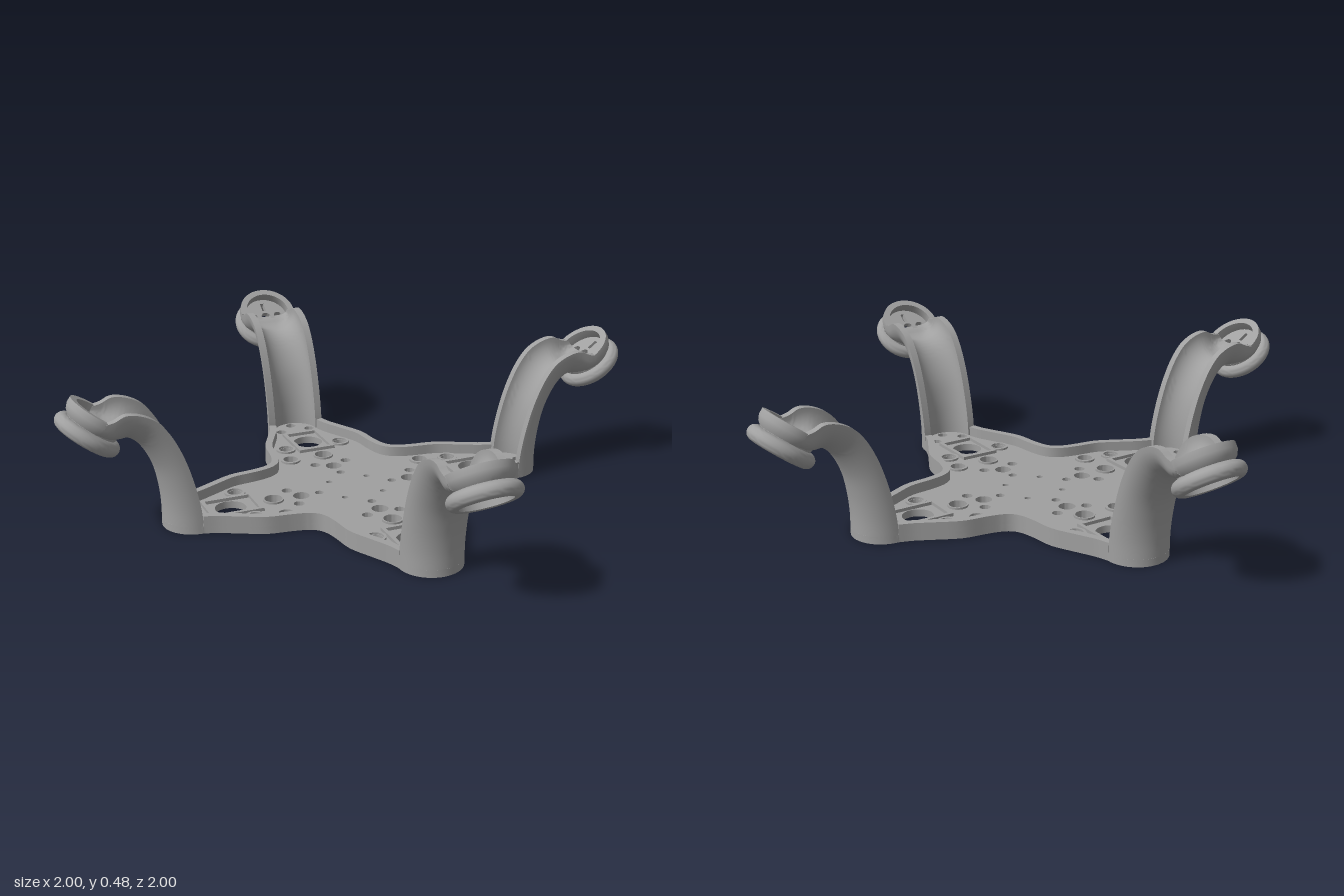
import * as THREE from 'three';
import { toCreasedNormals } from 'three/addons/utils/BufferGeometryUtils.js';

const V2 = (x, y) => new THREE.Vector2(x, y);
const V3 = (x, y) => new THREE.Vector3(x, y, 0);
const WIDTH = 0.105;   // half width of an arm
const WALL = 0.025;    // wall thickness
const ARM_X = 0.575;   // where the arms leave the plate

export function createModel() {
  const model = new THREE.Group();
  const grey = new THREE.MeshStandardMaterial({ color: 0xa0a0a0, side: THREE.DoubleSide });
  grey.name = 'grey plastic';

  const add = (parent, name, geometry) => {
    const mesh = new THREE.Mesh(toCreasedNormals(geometry, 0.6), grey);
    mesh.name = name;
    parent.add(mesh);
    return mesh;
  };
  // Extrude a plan shape upwards
  const slab = (shape, y, height) =>
    new THREE.ExtrudeGeometry(shape, { depth: height, bevelEnabled: false, curveSegments: 16 })
      .rotateX(-Math.PI / 2).translate(0, y, 0);
  const circle = (x, y, r) => new THREE.Path().absarc(x, y, r, 0, Math.PI * 2, true);
  const rectangle = (x, y, w, h) => [V2(x - w, y - h), V2(x + w, y - h), V2(x + w, y + h), V2(x - w, y + h)];
  const turn = (p, k) => p.clone().rotateAround(V2(0, 0), k * Math.PI / 2);

  // Wavy side between two arms, and its inward offset
  const side = new THREE.SplineCurve([
    [ARM_X, WIDTH], [0.53, 0.12], [0.47, 0.15], [0.39, 0.188], [0.31, 0.2], [0.26, 0.211], [0.229, 0.229],
    [0.211, 0.26], [0.2, 0.31], [0.188, 0.39], [0.15, 0.47], [0.12, 0.53], [WIDTH, ARM_X],
  ].map(p => V2(...p)));
  const outer = side.getPoints(48);
  const inner = outer.map((p, i) => {
    const t = side.getTangent(i / 48);
    return V2(p.x - t.y * WALL, p.y + t.x * WALL);
  });

  // Floor plate with rounded arm roots and drilled holes
  const outline = [];
  for (let k = 0; k < 4; k++) {
    for (let i = 0; i < 24; i++) {
      const a = -Math.PI / 2 + i / 24 * Math.PI;
      outline.push(turn(V2(ARM_X + WIDTH * Math.cos(a), WIDTH * Math.sin(a)), k));
    }
    outer.slice(0, -1).forEach(p => outline.push(turn(p, k)));
  }
  const plate = new THREE.Shape(outline);
  const holes = [
    [0.45, 0, 0.052], [0.3, 0, 0.03], [0.2, 0, 0.028], [0.135, 0, 0.015], [0.23, 0.058, 0.018],
    [0.23, -0.058, 0.018], [0.4, 0.105, 0.024], [0.4, -0.105, 0.024], [0.3, 0.125, 0.026],
    [0.58, 0.055, 0.018], [0.58, -0.055, 0.018], [0.63, 0, 0.018], [0.07, 0.07, 0.011],
  ];
  const bosses = [[0.4, 0.105], [0.4, -0.105], [0.3, 0.125], [0.3, 0]];
  for (let k = 0; k < 4; k++) {
    for (const [x, y, r] of holes) {
      const c = turn(V2(x, y), k);
      plate.holes.push(circle(c.x, c.y, r));
    }
  }
  add(model, 'floorPlate', slab(plate, 0, 0.025));

  // Raised rims, hole collars and square frames, one set per quarter
  for (let k = 0; k < 4; k++) {
    const quarter = new THREE.Group();
    quarter.name = 'plateQuarter';
    quarter.rotation.y = k * Math.PI / 2;
    model.add(quarter);
    add(quarter, 'rim', slab(new THREE.Shape([...outer, ...inner.slice().reverse()]), 0, 0.06));
    for (const [x, y] of bosses) {
      const collar = new THREE.Shape().absarc(x, y, 0.035, 0, Math.PI * 2);
      collar.holes.push(circle(x, y, y === 0 ? 0.03 : 0.026));
      add(quarter, 'holeCollar', slab(collar, 0.02, 0.012));
    }
    const frame = new THREE.Shape(rectangle(0.445, 0, 0.09, 0.068));
    frame.holes.push(new THREE.Path(rectangle(0.445, 0, 0.077, 0.055).reverse()));
    add(quarter, 'squareFrame', slab(frame, 0.02, 0.016));
  }

  // Arm: U-shaped channel between an edge curve and a back curve
  const edge = new THREE.CatmullRomCurve3([
    [0.575, 0], [0.578, 0.07], [0.597, 0.17], [0.63, 0.275], [0.67, 0.355], [0.71, 0.402],
    [0.76, 0.428], [0.805, 0.434], [0.838, 0.42], [0.868, 0.413],
  ].map(p => V3(...p)));
  const back = new THREE.CatmullRomCurve3([
    [0.68, 0], [0.68, 0.08], [0.687, 0.15], [0.703, 0.22], [0.735, 0.285], [0.763, 0.318],
    [0.79, 0.333], [0.815, 0.335], [0.85, 0.345], [0.894, 0.372],
  ].map(p => V3(...p)));

  const channelGeometry = () => {
    const steps = 54, arc = 20, loop = 2 * (arc + 1);
    const positions = [], index = [];
    for (let i = 0; i <= steps; i++) {
      const t = i / steps;
      const e = edge.getPoint(t), d = back.getPoint(t).sub(e);
      const depth = d.length();
      d.normalize();
      const power = 1 - 0.5 * THREE.MathUtils.smoothstep(t, 0.65, 1);
      for (let j = 0; j < loop; j++) {
        const isOuter = j <= arc;
        const a = (isOuter ? j : loop - 1 - j) / arc * Math.PI;
        const c = Math.cos(a);
        const reach = (isOuter ? depth : depth - Math.min(WALL, depth * 0.4)) *
          Math.pow(Math.max(Math.sin(a), 0), power);
        const half = (isOuter ? WIDTH : WIDTH - WALL) * Math.sign(c) * Math.pow(Math.abs(c), power);
        positions.push(e.x + d.x * reach, e.y + d.y * reach, half);
        if (i < steps) {
          const p = i * loop + j, q = i * loop + (j + 1) % loop;
          index.push(p, p + loop, q, q, p + loop, q + loop);
        }
      }
    }
    const geometry = new THREE.BufferGeometry();
    geometry.setAttribute('position', new THREE.Float32BufferAttribute(positions, 3));
    geometry.setIndex(index);
    return geometry;
  };

  // Foot: half cup, drilled disc and a rounded ring on a slim neck
  const buildFoot = parent => {
    const foot = new THREE.Group();
    foot.name = 'foot';
    const along = V3(0.81, 0.585).normalize();
    const axis = V3(along.y, -along.x);
    foot.applyMatrix4(new THREE.Matrix4()
      .makeBasis(along, axis, new THREE.Vector3(0, 0, -1)).setPosition(0.864, 0.412, 0));
    parent.add(foot);

    const cup = [[0.082, 0.04], [0.085, 0.045], [0.098, 0.032], [0.105, 0.015], [0.105, -0.006],
      [0.082, -0.006], [0.082, 0.04]].map(p => V2(...p));
    add(foot, 'cupWall', new THREE.LatheGeometry(cup, 28, 0, Math.PI));

    const ring = [V2(0.078, 0.03), V2(0.086, 0.04)];
    for (let i = 0; i <= 12; i++) {
      const a = -Math.PI * 0.6 + i / 12 * Math.PI * 1.1;
      ring.push(V2(0.088 + 0.025 * Math.cos(a), 0.07 + 0.025 * Math.sin(a)));
    }
    ring.push(V2(0.08, 0.092), V2(0.078, 0.05));
    add(foot, 'footRing', new THREE.LatheGeometry(ring, 48));

    const disc = new THREE.Shape().absarc(0, 0, 0.086, 0, Math.PI * 2);
    disc.holes.push(circle(0, 0, 0.018));
    for (const s of [-1, 1]) {
      disc.holes.push(circle(0, s * 0.048, 0.016));
      disc.holes.push(new THREE.Path(rectangle(s * 0.045, 0, 0.018, 0.007).reverse()));
    }
    add(foot, 'footDisc', slab(disc, 0.027, 0.02));
  };

  for (let k = 0; k < 4; k++) {
    const arm = new THREE.Group();
    arm.name = ['leftArm', 'backArm', 'rightArm', 'frontArm'][k];
    arm.rotation.y = k * Math.PI / 2;
    add(arm, 'armChannel', channelGeometry());
    buildFoot(arm);
    model.add(arm);
  }
  return model;
}
